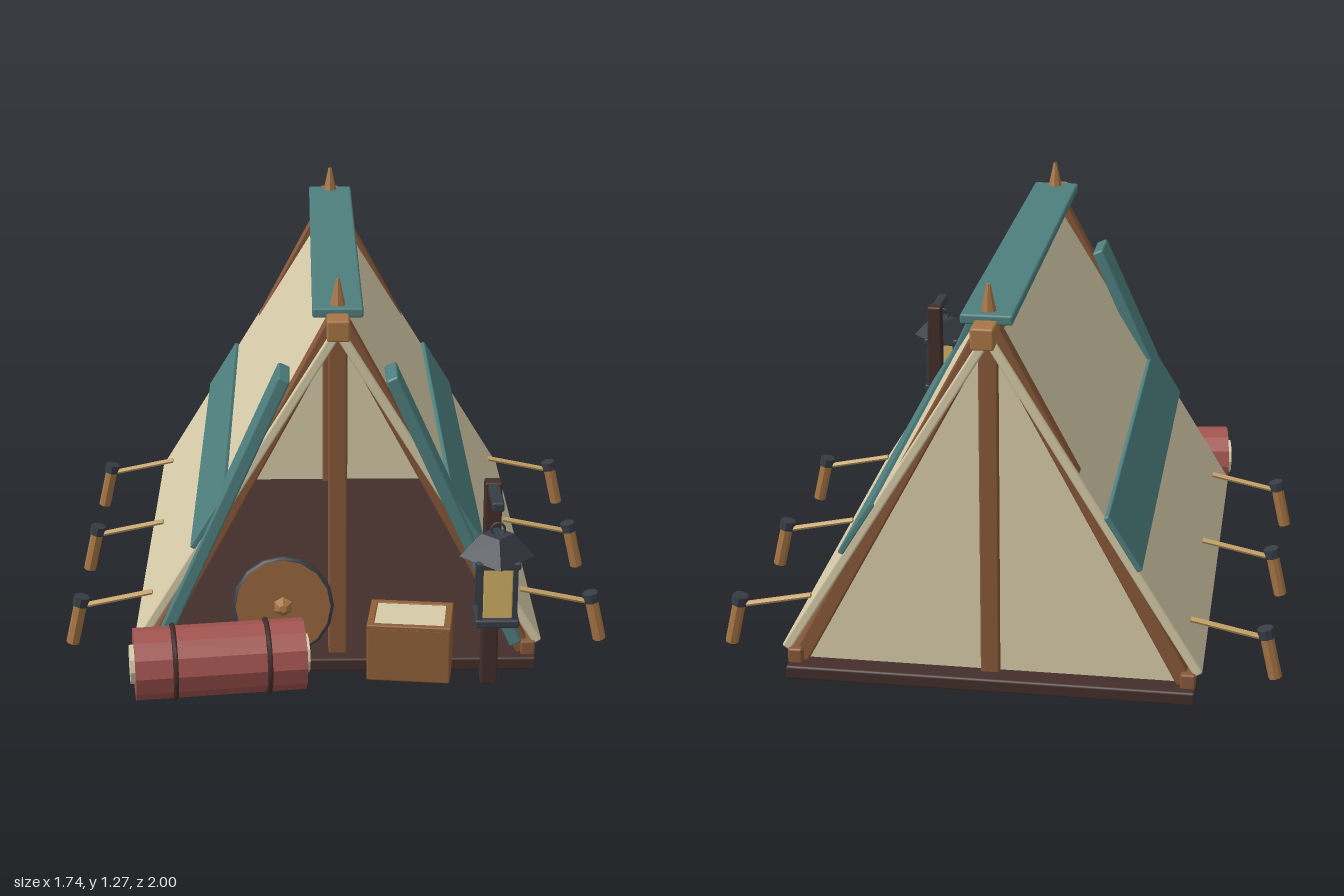
import * as THREE from 'three';
import { RoundedBoxGeometry } from 'three/addons/geometries/RoundedBoxGeometry.js';

const paint = (name, color) => {
  const m = new THREE.MeshStandardMaterial({ color });
  m.name = name;
  return m;
};

export function createModel() {
  const canvas = paint('cream canvas', 0xd6cba8);
  const teal = paint('teal cloth', 0x4d7f7e);
  const dark = paint('dark wood', 0x432e2a);
  const brown = paint('brown wood', 0x875739);
  const light = paint('light wood', 0xa87645);
  const plank = paint('plank wood', 0x8f5f38);
  const red = paint('red blanket', 0xa3544f);
  const iron = paint('iron', 0x373d45);
  const glass = paint('lamp glass', 0xd2b164);
  const rope = paint('rope', 0xc9a566);

  const model = new THREE.Group();
  const add = (name, geo, mat, x = 0, y = 0, z = 0, parent = model) => {
    const mesh = new THREE.Mesh(geo, mat);
    mesh.name = name;
    mesh.position.set(x, y, z);
    parent.add(mesh);
    return mesh;
  };
  const group = (name, x, y, z) => {
    const g = new THREE.Group();
    g.name = name;
    g.position.set(x, y, z);
    model.add(g);
    return g;
  };
  const box = (w, h, d) => new RoundedBoxGeometry(w, h, d, 1, Math.min(0.007, w / 4, h / 4, d / 4));
  // Faceted cylinder
  const cyl = (rTop, rBottom, h, sides) => {
    const g = new THREE.CylinderGeometry(rTop, rBottom, h, sides).toNonIndexed();
    g.computeVertexNormals();
    return g;
  };
  // Sloping board between two points of the x-y plane
  const slab = (name, mat, [x0, y0], [x1, y1], thick, depth, z) => {
    const dx = x1 - x0, dy = y1 - y0;
    const m = add(name, box(thick, Math.hypot(dx, dy), depth), mat, (x0 + x1) / 2, (y0 + y1) / 2, z);
    m.rotation.z = Math.atan2(-dx, dy);
    return m;
  };
  // Round rod between two points
  const rod = (name, mat, a, b, r, sides = 6) => {
    const from = new THREE.Vector3(...a), to = new THREE.Vector3(...b);
    const dir = to.clone().sub(from);
    const m = add(name, cyl(r, r, dir.length(), sides), mat);
    m.position.copy(from).add(to).multiplyScalar(0.5);
    m.quaternion.setFromUnitVectors(new THREE.Vector3(0, 1, 0), dir.normalize());
    return m;
  };

  // Floor and ridge
  add('floor', box(1.24, 0.042, 1.6), dark, 0, 0.036, -0.15);
  add('ridgeBeam', box(0.068, 0.065, 1.7), light, 0, 1.145, -0.15);
  add('ridgeCap', box(0.152, 0.03, 1.54), teal, 0, 1.178, -0.15);

  // Frames at the front and back
  for (const z of [0.58, -0.873]) {
    add('centrePole', box(0.058, 1.07, 0.05), brown, 0, 0.585, z);
    add('finial', cyl(0.006, 0.024, 0.085, 8), light, 0, 1.23, z);
    for (const s of [1, -1]) slab('rafter', brown, [s * 0.587, 0.06], [0, 1.16], 0.05, 0.052, z);
  }

  // Back wall
  const tri = new THREE.Shape();
  tri.moveTo(-0.61, 0.058);
  tri.lineTo(0.61, 0.058);
  tri.lineTo(0, 1.1);
  add('backWall', new THREE.ExtrudeGeometry(tri, { depth: 0.012, bevelEnabled: false }), canvas, 0, 0, -0.88);

  // Roof sides, mirrored
  const along = (y, out = 0) => [(1.12 - y) * 0.613 + out * 0.853, y + out * 0.523];
  for (const s of [1, -1]) {
    const flip = ([x, y]) => [s * x, y];
    add('sideRail', box(0.045, 0.05, 1.55), brown, s * 0.597, 0.077, -0.148);
    slab('roofPanel', canvas, flip(along(0.095)), flip(along(1.12)), 0.03, 1.526, -0.145);
    slab('sideBand', teal, flip(along(0.415, 0.019)), flip(along(0.582, 0.019)), 0.018, 1.535, -0.146);
    slab('frontFlap', teal, [s * 0.557, 0.1], [s * 0.16, 0.98], 0.04, 0.15, 0.57);

    // Guy ropes and stakes
    for (const z of [0.43, -0.145, -0.73]) {
      rod('stake', light, [s * 0.852, 0.015, z], [s * 0.818, 0.165, z], 0.021, 8);
      rod('stakeCollar', iron, [s * 0.822, 0.147, z], [s * 0.815, 0.177, z], 0.026, 8);
      rod('guyRope', rope, [s * 0.815, 0.145, z], [s * 0.59, 0.192, z], 0.009);
    }
  }

  // Bedroll with straps
  const roll = group('bedroll', -0.365, 0.12, 0.763);
  roll.rotation.y = 0.128;
  const blanket = add('blanket', cyl(0.11, 0.11, 0.52, 12), red, 0, 0, 0, roll);
  blanket.rotation.z = Math.PI / 2;
  const core = add('rollCore', cyl(0.06, 0.06, 0.548, 10), canvas, 0, 0, 0, roll);
  core.rotation.z = Math.PI / 2;
  for (const x of [-0.14, 0.145]) {
    const strap = add('strap', new THREE.TorusGeometry(0.11, 0.009, 6, 16), dark, x, 0, 0, roll);
    strap.rotation.y = Math.PI / 2;
  }

  // Round shield leaning on the pole
  const shield = group('shield', -0.17, 0.24, 0.643);
  shield.rotation.x = -0.16;
  const disc = add('shieldDisc', cyl(0.147, 0.147, 0.024, 16), plank, 0, 0, 0, shield);
  disc.rotation.x = Math.PI / 2;
  add('shieldRim', new THREE.TorusGeometry(0.147, 0.011, 6, 16), iron, 0, 0, 0, shield);
  const boss = add('shieldBoss', cyl(0.012, 0.034, 0.035, 6), light, 0, 0, 0.025, shield);
  boss.rotation.x = Math.PI / 2;

  // Crate with a cloth-covered top
  const crate = group('crate', 0.222, 0.143, 0.708);
  crate.rotation.y = -0.12;
  add('crateBody', box(0.256, 0.18, 0.19), plank, 0, 0, 0, crate);
  add('crateCloth', new THREE.BoxGeometry(0.212, 0.008, 0.15), canvas, 0, 0.09, 0, crate);
  for (const s of [1, -1]) {
    add('crateRim', box(0.256, 0.014, 0.022), plank, 0, 0.09, s * 0.084, crate);
    add('crateRim', box(0.022, 0.014, 0.19), plank, s * 0.117, 0.09, 0, crate);
  }

  // Lantern post
  add('lanternPost', box(0.052, 0.67, 0.05), dark, 0.464, 0.35, 0.72);
  add('lanternArm', box(0.036, 0.03, 0.19), iron, 0.464, 0.665, 0.795);

  // Lantern
  const lamp = group('lantern', 0.464, 0, 0.89);
  add('lanternBase', box(0.13, 0.026, 0.13), iron, 0, 0.32, 0, lamp);
  add('lanternGlass', box(0.092, 0.175, 0.092), glass, 0, 0.415, 0, lamp);
  add('lanternCollar', box(0.13, 0.024, 0.13), iron, 0, 0.505, 0, lamp);
  add('lanternRoof', cyl(0.048, 0.112, 0.072, 4), iron, 0, 0.548, 0, lamp);
  add('lanternRing', new THREE.TorusGeometry(0.02, 0.004, 6, 12), iron, 0, 0.598, 0, lamp);
  for (const x of [-0.051, 0.051])
    for (const z of [-0.051, 0.051])
      add('lanternBar', new THREE.BoxGeometry(0.014, 0.18, 0.014), iron, x, 0.415, z, lamp);

  return model;
}
